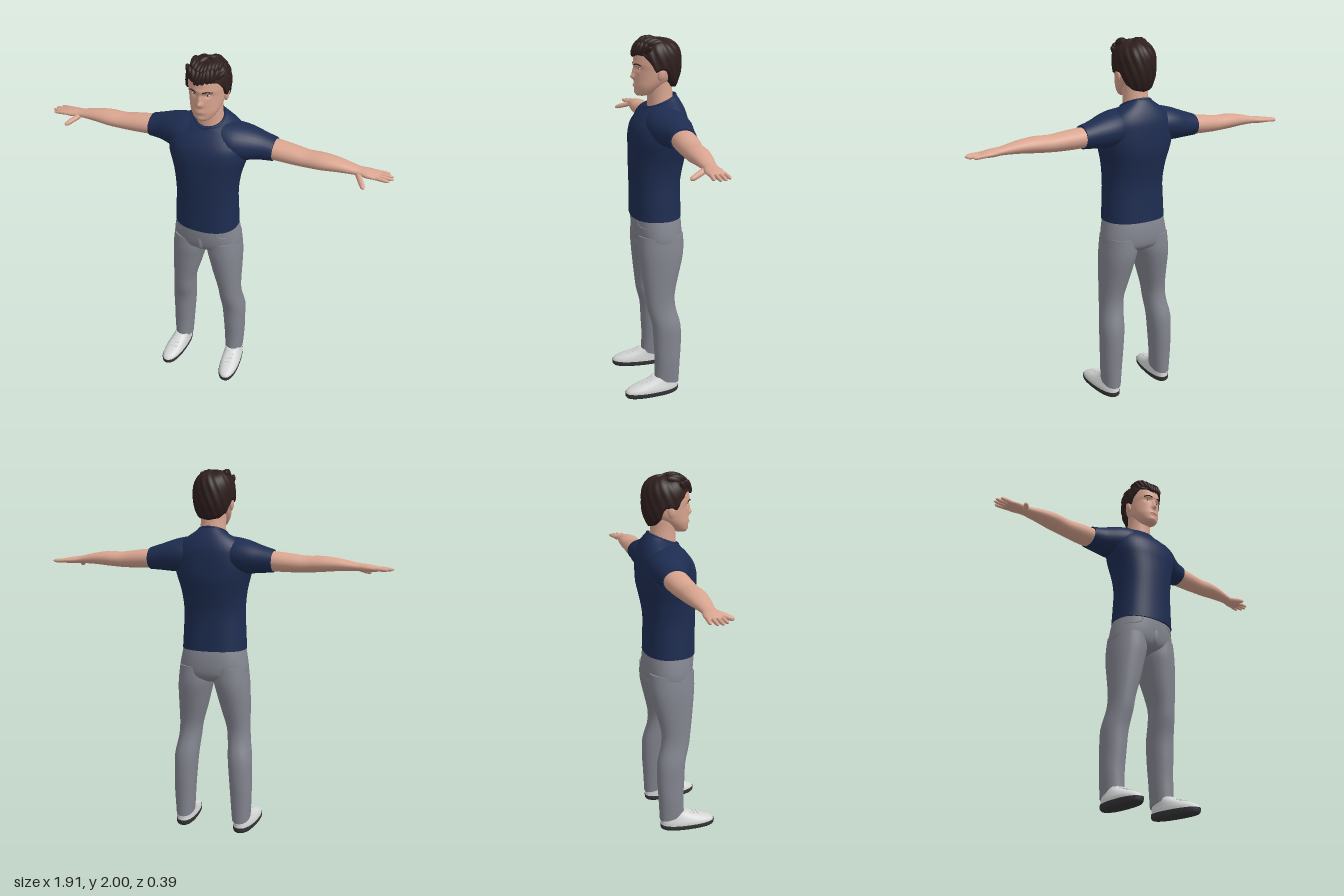
import * as THREE from 'three';
import { mergeGeometries } from 'three/addons/utils/BufferGeometryUtils.js';

const mat = (name, color) => Object.assign(new THREE.MeshStandardMaterial({ color }), { name });

// Smooth interpolation of the section numbers
function refine(sections, sub) {
  const out = [], n = sections.length, at = i => sections[Math.min(n - 1, Math.max(0, i))];
  for (let i = 0; i < n - 1; i++) for (let k = 0; k < sub; k++) {
    const t = k / sub, [a, b, c, d] = [at(i - 1), at(i), at(i + 1), at(i + 2)];
    out.push(b.map((v, q) => v + 0.5 * t * (c[q] - a[q] + t * (2 * a[q] - 5 * v + 4 * c[q] - d[q] + t * (3 * (v - c[q]) + d[q] - a[q])))));
  }
  return [...out, sections[n - 1]];
}

// Loft through rounded sections [t, c1, c2, r1, r2, tilt], rising along y, or along x when axis is 'x'
function loft(sections, { n = 28, sub = 3, p = 2, axis = 'y', warp } = {}) {
  const rings = refine(sections.map(s => [...s, 0].slice(0, 6)), sub), pos = [], idx = [];
  const put = (a, t, b) => {
    const v = axis === 'x' ? new THREE.Vector3(t, b, a) : new THREE.Vector3(a, t, b);
    if (warp) warp(v);
    pos.push(v.x, v.y, v.z);
  };
  const pw = c => Math.sign(c) * Math.abs(c) ** (2 / p);
  const ring = ([t, c1, c2, r1, r2, tilt]) => {
    for (let j = 0; j < n; j++) {
      const a = j / n * Math.PI * 2, c = pw(Math.cos(a)), s = pw(Math.sin(a));
      put(c1 + r1 * c, t + tilt * s, c2 + r2 * s);
    }
  };
  rings.forEach(ring);
  for (let i = 0; i < rings.length - 1; i++) for (let j = 0; j < n; j++) {
    const a = i * n + j, b = i * n + (j + 1) % n;
    idx.push(a, a + n, b, b, a + n, b + n);
  }
  [rings[0], rings[rings.length - 1]].forEach((r, top) => {
    const base = pos.length / 3;
    ring(r);
    put(r[1], r[0], r[2]);
    for (let j = 0; j < n; j++) {
      const a = base + j, b = base + (j + 1) % n;
      idx.push(base + n, top ? b : a, top ? a : b);
    }
  });
  const g = new THREE.BufferGeometry();
  g.setAttribute('position', new THREE.Float32BufferAttribute(pos, 3));
  g.setIndex(idx);
  g.computeVertexNormals();
  return g;
}

function mirrored(g) {
  const m = g.clone().scale(-1, 1, 1), i = m.index.array;
  for (let k = 0; k < i.length; k += 3) [i[k], i[k + 1]] = [i[k + 1], i[k]];
  return m;
}

// Rounded tapering rod for fingers
function finger(from, to, r) {
  const a = new THREE.Vector3(...from), d = new THREE.Vector3(...to).sub(a), L = d.length();
  const g = loft([[0, 0, 0, r, r], [L * 0.5, 0, 0, r * 0.95, r * 0.95], [L * 0.88, 0, 0, r * 0.75, r * 0.75], [L, 0, 0, r * 0.2, r * 0.2]], { n: 10, sub: 2 });
  return g.applyQuaternion(new THREE.Quaternion().setFromUnitVectors(new THREE.Vector3(0, 1, 0), d.normalize())).translate(...from);
}

// Squashed sphere
const blob = (pos, size, rx = 0, rz = 0) =>
  new THREE.SphereGeometry(1, 14, 10).scale(...size).rotateX(rx).rotateZ(rz).translate(...pos);

export function createModel() {
  const model = new THREE.Group();
  model.name = 'standingMan';
  const skin = mat('skin', 0xd9a590), navy = mat('navyCloth', 0x1d2c50), grey = mat('greyCloth', 0x83858f);
  const hairMat = mat('darkBrownHair', 0x2d1e1c), white = mat('shoeWhite', 0xd4d7d5), dark = mat('soleDark', 0x353538);
  const eyeMat = mat('eyeWhite', 0xd8d0cb), lipMat = mat('lip', 0xc08a7a);
  const add = (name, g, m) => {
    const mesh = new THREE.Mesh(g, m);
    mesh.name = name;
    model.add(mesh);
    return mesh;
  };
  const pair = (name, g, m) => {
    add('left' + name, g, m);
    add('right' + name, mirrored(g), m);
  };
  const ray = new THREE.Raycaster();
  const onFront = (mesh, x, y, lift = 0) => {
    ray.set(new THREE.Vector3(x, y, 3), new THREE.Vector3(0, 0, -1));
    const hit = ray.intersectObject(mesh)[0];
    return new THREE.Vector3(x, y, (hit ? hit.point.z : 0) + lift);
  };
  const strip = (mesh, pts, r, lift = 0) =>
    new THREE.TubeGeometry(new THREE.CatmullRomCurve3(pts.map(([x, y]) => onFront(mesh, x, y, lift))), 12, r, 6);

  // Head with brow, sockets, nose, lips and chin raised by soft bumps
  const bump = (v, x, y, sx, sy) => Math.exp(-(((v.x - x) / sx) ** 2) - ((v.y - y) / sy) ** 2);
  const head = add('head', loft([
    [1.7, 0, 0.045, 0.03, 0.028], [1.715, 0, 0.03, 0.052, 0.05], [1.75, 0, 0.008, 0.074, 0.077],
    [1.79, 0, -0.02, 0.087, 0.105], [1.83, 0, -0.03, 0.093, 0.115], [1.87, 0, -0.032, 0.097, 0.121],
    [1.92, 0, -0.035, 0.095, 0.117], [1.955, 0, -0.035, 0.07, 0.09], [1.972, 0, -0.035, 0.03, 0.04],
  ], {
    n: 96, sub: 6, warp: v => {
      if (v.z < 0.01) return;
      v.z += 0.02 * bump(v, 0, 1.796, 0.014, 0.013) + 0.013 * bump(v, 0, 1.823, 0.01, 0.022)
        + 0.005 * bump(v, 0, 1.864, 0.05, 0.01) + 0.006 * bump(v, 0, 1.753, 0.024, 0.011) + 0.006 * bump(v, 0, 1.716, 0.025, 0.012);
      for (const s of [-1, 1]) v.z -= 0.011 * bump(v, s * 0.036, 1.842, 0.02, 0.012);
    },
  }), skin);
  add('neck', loft([[1.6, 0, -0.06, 0.076, 0.075], [1.66, 0, -0.056, 0.071, 0.07], [1.72, 0, -0.05, 0.068, 0.068], [1.78, 0, -0.045, 0.07, 0.07]]), skin);
  pair('Ear', blob([0.097, 1.815, -0.035], [0.011, 0.032, 0.019], -0.15, -0.12), skin);
  const eye = onFront(head, 0.036, 1.842);
  pair('Eye', blob([eye.x, eye.y, eye.z - 0.002], [0.014, 0.005, 0.005]), eyeMat);
  pair('Iris', blob([eye.x, eye.y, eye.z + 0.001], [0.005, 0.005, 0.003]), dark);
  pair('Eyebrow', strip(head, [[0.016, 1.86], [0.036, 1.866], [0.06, 1.859]], 0.0035), hairMat);
  add('lips', strip(head, [[-0.024, 1.749], [-0.01, 1.752], [0, 1.75], [0.01, 1.752], [0.024, 1.749]], 0.0035, -0.001), lipMat);

  // Hair shell: lower edge follows a hairline around the head
  const line = [[0, 1.91], [0.8, 1.912], [1.15, 1.87], [1.35, 1.825], [1.55, 1.84], [1.85, 1.835], [2.1, 1.775], [2.5, 1.745], [3.15, 1.735]];
  const hairline = a => {
    const k = line.findIndex(q => q[0] > a), [p, q] = [line[k - 1], line[k]];
    return THREE.MathUtils.mapLinear(a, p[0], q[0], p[1], q[1]);
  };
  const N = 80, M = 20, hp = [], hi = [];
  for (let j = 0; j <= M; j++) for (let i = 0; i < N; i++) {
    const a = i / N * Math.PI * 2, low = hairline(Math.min(a, Math.PI * 2 - a));
    const y = low + (1.99 - low) * Math.sin(Math.max(0, j - 1) / (M - 1) * Math.PI / 2);
    const h = Math.max(0, (y - 1.87) / 0.12);
    let f = y > 1.87 ? Math.max(0, 1 - h ** 2.6) ** (1 / 2.6) : 1 - 0.26 * ((1.87 - y) / 0.135) ** 2.5;
    f *= j ? 1 + 0.018 * Math.sin(a * 17 + y * 60) : 0.72;
    hp.push(0.112 * f * Math.sin(a), y + 0.006 * h * Math.sin(a * 5), -0.035 + 0.129 * f * Math.cos(a));
    const b = j * N + i, c = j * N + (i + 1) % N;
    if (j < M) hi.push(b, c, b + N, c, c + N, b + N);
  }
  const hair = new THREE.BufferGeometry();
  hair.setAttribute('position', new THREE.Float32BufferAttribute(hp, 3));
  hair.setIndex(hi);
  hair.computeVertexNormals();
  add('hair', hair, hairMat);

  // Swept locks along the fringe and over the crown
  const locks = [];
  for (let i = 0; i < 11; i++) {
    const a = (i - 5) * 0.2, w = Math.sin(i * 7.3);
    locks.push(blob([Math.sin(a) * 0.092, 1.937 + w * 0.008, -0.03 + Math.cos(a) * 0.112], [0.014, 0.036, 0.017], -0.35, -a * 0.5 + w * 0.35));
    locks.push(blob([Math.sin(a * 1.3) * 0.07, 1.972 + w * 0.008, -0.03 + Math.cos(a * 1.3) * 0.07], [0.014, 0.02, 0.04], 0.25, w * 0.3));
  }
  add('hairLocks', mergeGeometries(locks), hairMat);

  // Shirt body, sleeves and neckband
  add('shirtBody', loft([
    [1.04, 0, -0.025, 0.178, 0.139], [1.15, 0, -0.023, 0.172, 0.137], [1.25, 0, -0.022, 0.168, 0.138],
    [1.35, 0, -0.03, 0.178, 0.148], [1.42, 0, -0.038, 0.196, 0.155], [1.48, 0, -0.04, 0.212, 0.156],
    [1.54, 0, -0.046, 0.212, 0.149], [1.59, 0, -0.06, 0.195, 0.13], [1.63, 0, -0.066, 0.155, 0.107, -0.01],
    [1.658, 0, -0.06, 0.1, 0.09, -0.024], [1.668, 0, -0.054, 0.078, 0.081, -0.033],
  ], { n: 40, p: 2.3 }), navy);
  pair('Sleeve', loft([
    [0.06, -0.05, 1.56, 0.1, 0.095], [0.14, -0.058, 1.552, 0.116, 0.095], [0.21, -0.072, 1.545, 0.104, 0.087],
    [0.28, -0.084, 1.536, 0.08, 0.072], [0.345, -0.087, 1.528, 0.07, 0.06],
  ], { axis: 'x' }), navy);
  const band = Array.from({ length: 24 }, (_, i) => {
    const a = i / 24 * Math.PI * 2, s = Math.sin(a);
    return new THREE.Vector3(0.078 * Math.cos(a), 1.668 - 0.033 * s, -0.054 + 0.081 * s);
  });
  add('neckband', new THREE.TubeGeometry(new THREE.CatmullRomCurve3(band, true), 48, 0.006, 8, true), navy);

  // Arms run straight into the palms, then fingers and thumb
  pair('Arm', loft([
    [0.28, -0.086, 1.53, 0.062, 0.05], [0.36, -0.088, 1.526, 0.065, 0.052], [0.45, -0.085, 1.52, 0.061, 0.048],
    [0.52, -0.082, 1.516, 0.056, 0.043], [0.6, -0.08, 1.519, 0.058, 0.041], [0.68, -0.08, 1.518, 0.049, 0.033],
    [0.75, -0.08, 1.512, 0.038, 0.024], [0.79, -0.08, 1.508, 0.035, 0.02], [0.83, -0.081, 1.505, 0.043, 0.019],
    [0.875, -0.084, 1.502, 0.042, 0.014], [0.89, -0.084, 1.501, 0.036, 0.009],
  ], { axis: 'x', n: 24 }), skin);
  const tips = [[0.94, -0.048], [0.957, -0.073], [0.953, -0.098], [0.932, -0.124]];
  const digits = tips.map(([x, z], i) => finger([0.86, 1.503, -0.054 - i * 0.02], [x, 1.499, z], 0.0105));
  digits.push(finger([0.785, 1.5, -0.055], [0.832, 1.474, 0.024], 0.015));
  pair('Fingers', mergeGeometries(digits), skin);

  // Trousers: seat and two legs
  const seat = add('trouserSeat', loft([
    [0.862, 0, -0.045, 0.09, 0.06], [0.89, 0, -0.04, 0.175, 0.112], [0.93, 0, -0.035, 0.193, 0.131],
    [1, 0, -0.03, 0.183, 0.135], [1.06, 0, -0.025, 0.17, 0.13],
  ], { n: 40, p: 2.3 }), grey);
  pair('TrouserLeg', loft([
    [0.075, 0.168, -0.055, 0.05, 0.071, 0.017], [0.2, 0.167, -0.06, 0.058, 0.072], [0.3, 0.163, -0.06, 0.061, 0.078],
    [0.42, 0.158, -0.055, 0.066, 0.08], [0.52, 0.146, -0.03, 0.062, 0.08], [0.6, 0.139, -0.022, 0.064, 0.083],
    [0.7, 0.125, -0.026, 0.078, 0.1], [0.8, 0.112, -0.033, 0.09, 0.118], [0.87, 0.102, -0.035, 0.096, 0.126], [0.95, 0.098, -0.035, 0.09, 0.124],
  ], { p: 2.2 }), grey);
  pair('PocketSeam', strip(seat, [[0.09, 1.035], [0.1, 1.012], [0.13, 1.0], [0.168, 0.995]], 0.003), grey);
  add('fly', blob([0, 0.955, 0.085], [0.022, 0.055, 0.022]), grey);

  // Shoes, turned out a little
  const toeOut = v => { v.x += 0.07 * v.z; };
  pair('Sole', loft([[0, 0.178, 0.035, 0.05, 0.15], [0.01, 0.178, 0.035, 0.057, 0.158], [0.03, 0.178, 0.035, 0.058, 0.159]], { p: 2.4, warp: toeOut }), dark);
  pair('Shoe', loft([
    [0.027, 0.178, 0.035, 0.057, 0.157], [0.045, 0.178, 0.03, 0.056, 0.15], [0.065, 0.176, 0.008, 0.051, 0.126],
    [0.085, 0.173, -0.022, 0.046, 0.092], [0.105, 0.17, -0.04, 0.041, 0.068],
  ], { p: 2.3, warp: toeOut }), white);
  const laces = [0, 1, 2].map(i => new THREE.BoxGeometry(0.04, 0.006, 0.01).rotateX(0.35).translate(0.179, 0.092 - i * 0.008, 0.045 + i * 0.026));
  pair('Laces', mergeGeometries(laces), white);
  return model;
}
